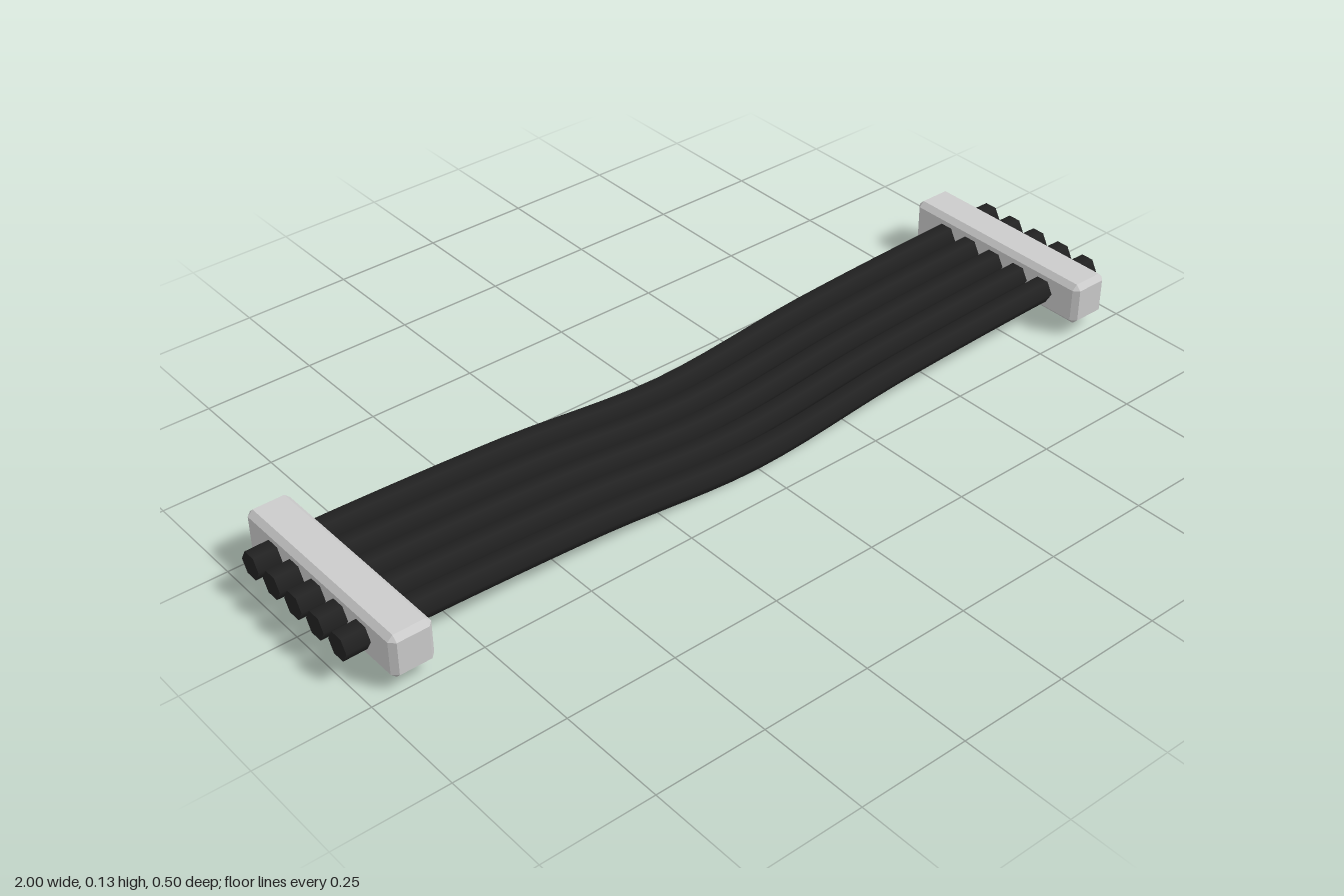
import * as THREE from 'three';
import { ConvexGeometry } from 'three/addons/geometries/ConvexGeometry.js';

const LENGTH = 2, CABLES = 5, SPACING = 0.075, RADIUS = 0.03;

// Box with every edge chamfered: hull of three points per corner
function chamferedBox(w, h, d, c) {
  const points = [];
  for (const x of [-w / 2, w / 2])
    for (const y of [-h / 2, h / 2])
      for (const z of [-d / 2, d / 2]) {
        const p = new THREE.Vector3(x, y, z);
        for (let keep = 0; keep < 3; keep++) {
          const q = p.clone();
          for (let axis = 0; axis < 3; axis++) {
            if (axis !== keep) q.setComponent(axis, p.getComponent(axis) - Math.sign(p.getComponent(axis)) * c);
          }
          points.push(q);
        }
      }
  return new ConvexGeometry(points);
}

// Hexagonal rod along x, bent to follow the sag
function cableGeometry() {
  const sag = new THREE.SplineCurve([
    [-1, 0.077], [-0.8, 0.077], [-0.4, 0.06], [0, 0.026], [0.4, 0.06], [0.8, 0.077], [1, 0.077],
  ].map(([x, y]) => new THREE.Vector2(x, y)));
  const geometry = new THREE.CylinderGeometry(RADIUS, RADIUS, LENGTH, 6, 36);
  geometry.rotateZ(-Math.PI / 2);
  const pos = geometry.attributes.position;
  for (let i = 0; i < pos.count; i++) {
    const centre = sag.getPoint(THREE.MathUtils.clamp(pos.getX(i) / LENGTH + 0.5, 0, 1));
    pos.setXYZ(i, centre.x, centre.y + pos.getY(i), pos.getZ(i));
  }
  return geometry;
}

export function createModel() {
  const model = new THREE.Group();
  model.name = 'cableBundle';
  const black = new THREE.MeshStandardMaterial({ color: 0x222222 });
  const grey = new THREE.MeshStandardMaterial({ color: 0xcccccc });

  // Parallel sagging cables
  const cable = cableGeometry();
  for (let i = 0; i < CABLES; i++) {
    const mesh = new THREE.Mesh(cable, black);
    mesh.name = `cable${i + 1}`;
    mesh.position.z = (i - (CABLES - 1) / 2) * SPACING;
    model.add(mesh);
  }

  // Clamp bars near both ends
  const bar = chamferedBox(0.095, 0.1, 0.5, 0.012);
  for (const side of [-1, 1]) {
    const mesh = new THREE.Mesh(bar, grey);
    mesh.name = side > 0 ? 'leftClamp' : 'rightClamp';
    mesh.position.set(side * 0.9, 0.077, 0);
    model.add(mesh);
  }
  return model;
}
